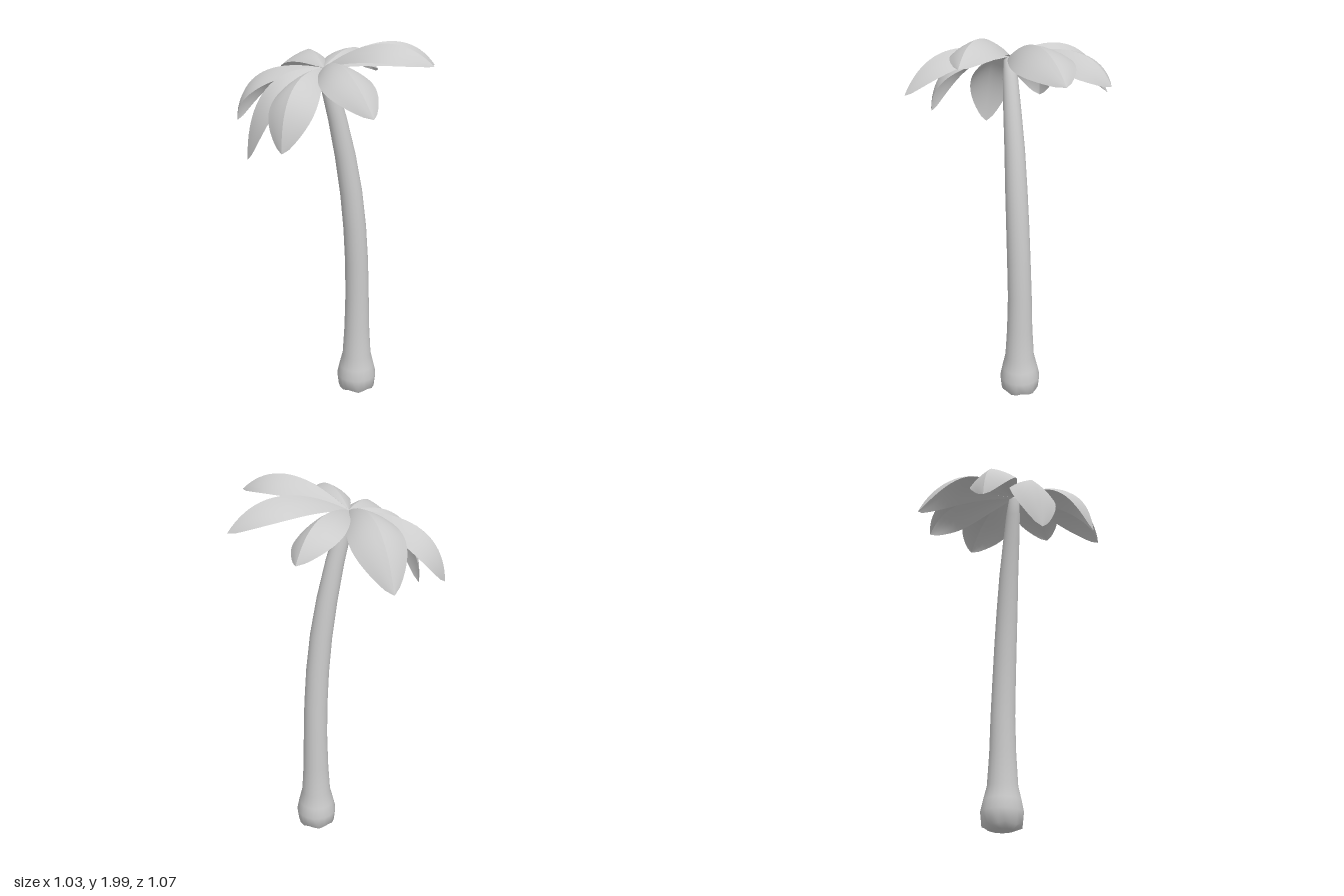
import * as THREE from 'three';

const material = new THREE.MeshStandardMaterial({ color: 0xcccccc, side: THREE.DoubleSide });
const UP = new THREE.Vector3(0, 1, 0);

// Smooth surface sampled from fn(u, v) -> Vector3 on a grid of nu x nv cells
function surface(fn, nu, nv) {
  const pos = [], index = [];
  for (let i = 0; i <= nu; i++) {
    for (let j = 0; j <= nv; j++) pos.push(...fn(i / nu, j / nv).toArray());
  }
  for (let i = 0; i < nu; i++) {
    for (let j = 0; j < nv; j++) {
      const a = i * (nv + 1) + j, b = a + nv + 1;
      index.push(a, a + 1, b, b, a + 1, b + 1);
    }
  }
  const g = new THREE.BufferGeometry();
  g.setAttribute('position', new THREE.Float32BufferAttribute(pos, 3));
  g.setIndex(index);
  g.computeVertexNormals();
  return g;
}

// Bent trunk: rings of [x, y, z, radius]
function makeTrunk() {
  const rings = [
    [0.10, 0.002, -0.034, 0.001], [0.10, 0.010, -0.034, 0.060], [0.10, 0.03, -0.034, 0.102],
    [0.10, 0.10, -0.034, 0.110], [0.10, 0.16, -0.033, 0.097], [0.10, 0.23, -0.032, 0.080],
    [0.10, 0.40, -0.032, 0.070], [0.10, 0.60, -0.032, 0.065], [0.095, 0.80, -0.027, 0.063],
    [0.083, 1.00, -0.022, 0.061], [0.062, 1.20, -0.017, 0.058], [0.030, 1.40, -0.013, 0.053],
    [-0.012, 1.60, -0.006, 0.046], [-0.052, 1.75, -0.002, 0.039], [-0.076, 1.84, 0, 0.029],
    [-0.082, 1.86, 0, 0.001],
  ];
  const n = rings.length - 1;
  const g = surface((u, v) => {
    const k = Math.round(u * n), [x, y, z, r] = rings[k];
    const a = -v * Math.PI * 2;
    // Rings lean with the bend; the foot edge is slightly uneven
    const before = rings[Math.max(k - 1, 0)], after = rings[Math.min(k + 1, n)];
    const lean = (after[0] - before[0]) / (after[1] - before[1]);
    const wave = k === 2 ? 0.007 * Math.cos(a * 6) : 0;
    return new THREE.Vector3(x + r * Math.cos(a), y - lean * r * Math.cos(a) + wave, z + r * Math.sin(a));
  }, n, 20);
  // Close the shading seam
  const nor = g.attributes.normal;
  for (let i = 0; i <= n; i++) {
    const a = i * 21, b = a + 20;
    const m = new THREE.Vector3().fromBufferAttribute(nor, a)
      .add(new THREE.Vector3().fromBufferAttribute(nor, b)).normalize();
    nor.setXYZ(a, m.x, m.y, m.z);
    nor.setXYZ(b, m.x, m.y, m.z);
  }
  const mesh = new THREE.Mesh(g, material);
  mesh.name = 'trunk';
  return mesh;
}

// Arched leaf folded along its midrib; roll tips its left side up, sway bows the rib to its left
function makeLeaf(tip, reach, controlY, roll, width, sway) {
  const root = new THREE.Vector3(-0.08, 1.855, 0);
  const end = new THREE.Vector3(...tip);
  const left = new THREE.Vector3(end.z - root.z, 0, root.x - end.x).normalize();
  const control = root.clone().lerp(end, reach).setY(controlY).addScaledVector(left, sway);
  const rib = new THREE.QuadraticBezierCurve3(root, control, end);
  const leaf = new THREE.Group();
  for (const side of [1, -1]) {
    const half = surface((u, v) => {
      // Fold direction lies between the rib's normal and straight up
      const up = new THREE.Vector3().crossVectors(rib.getTangent(u), left)
        .normalize().lerp(UP, 0.55).normalize();
      const w = width * Math.pow(Math.max(Math.sin(Math.PI * Math.pow(u, 1.1)), 0), 0.75);
      const s = side > 0 ? v : 1 - v;
      const angle = THREE.MathUtils.degToRad(side * roll - 20 - 12 * s);
      return rib.getPoint(u)
        .addScaledVector(left, side * w * s * Math.cos(angle))
        .addScaledVector(up, w * s * Math.sin(angle));
    }, 20, 4);
    const mesh = new THREE.Mesh(half, material);
    mesh.name = side > 0 ? 'leafLeftHalf' : 'leafRightHalf';
    leaf.add(mesh);
  }
  return leaf;
}

export function createModel() {
  const model = new THREE.Group();
  model.name = 'palmTree';
  model.add(makeTrunk());

  // Tip position, reach of the arch, arch height, roll in degrees, half width, sway
  const leaves = [
    [[-0.19, 1.63, -0.54], 0.70, 2.04, 5, 0.155, 0],
    [[0.235, 1.76, -0.45], 0.78, 2.01, 10, 0.14, 0.02],
    [[0.515, 1.83, -0.175], 0.66, 2.09, 9, 0.165, -0.02],
    [[0.41, 1.90, 0.29], 0.62, 2.11, 0, 0.14, -0.03],
    [[0.095, 1.715, 0.53], 0.68, 2.02, 6, 0.145, -0.07],
    [[-0.31, 1.53, 0.39], 0.95, 1.91, 0, 0.14, -0.01],
    [[-0.47, 1.42, 0.08], 0.97, 1.90, 0, 0.145, 0],
    [[-0.515, 1.55, -0.23], 0.95, 1.90, 0, 0.14, 0],
  ];
  const crown = new THREE.Group();
  crown.name = 'crown';
  leaves.forEach((spec, i) => {
    const leaf = makeLeaf(...spec);
    leaf.name = `leaf${i + 1}`;
    crown.add(leaf);
  });
  model.add(crown);
  return model;
}
